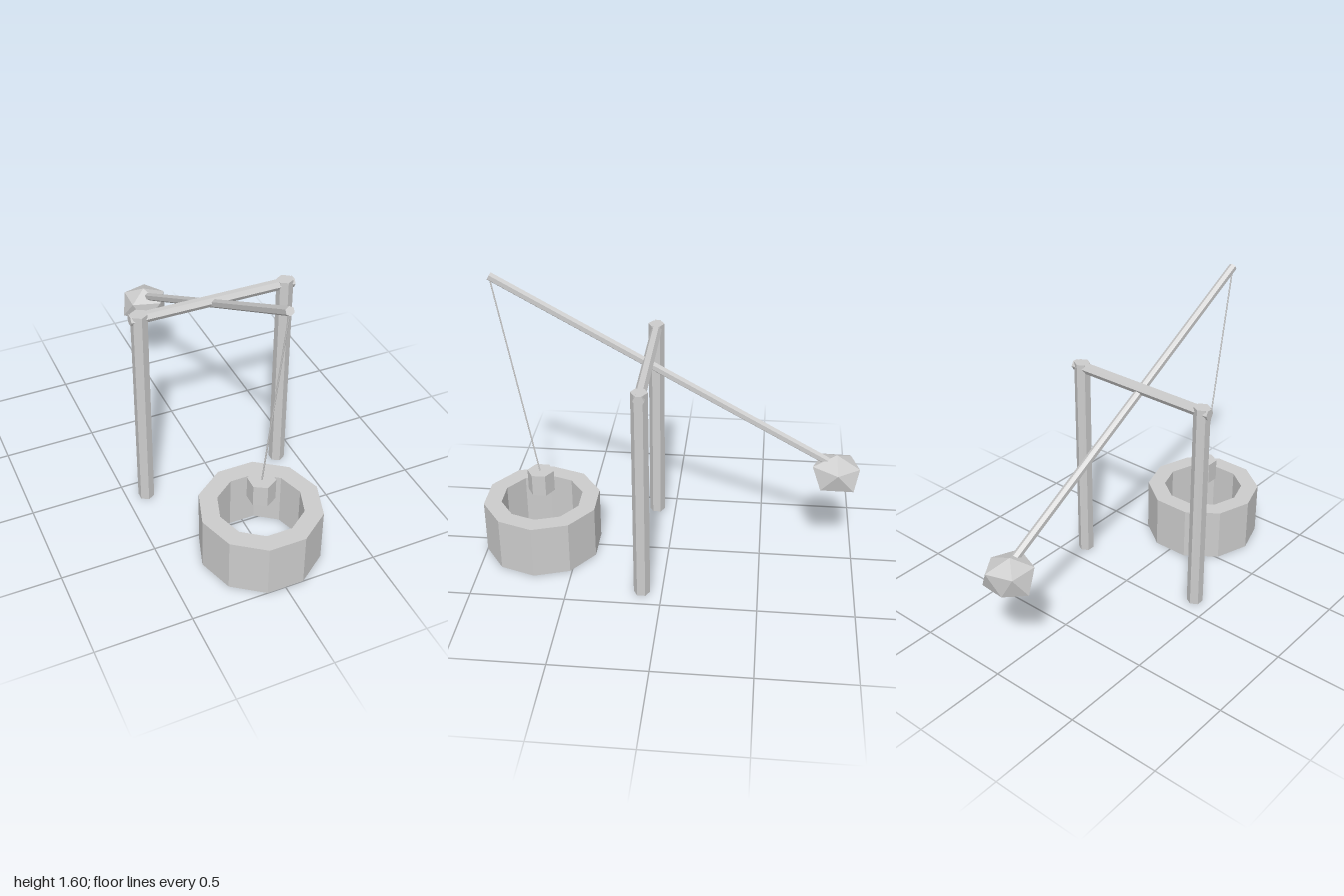
import * as THREE from 'three';
import { ConvexGeometry } from 'three/addons/geometries/ConvexGeometry.js';

const gray = new THREE.MeshStandardMaterial({ color: 0xcccccc });
gray.name = 'light gray';

const UP = new THREE.Vector3(0, 1, 0);

function part(name, geometry) {
  const flat = geometry.index ? geometry.toNonIndexed() : geometry;
  flat.computeVertexNormals();
  const mesh = new THREE.Mesh(flat, gray);
  mesh.name = name;
  return mesh;
}

// Straight prism between two points
function rod(name, from, to, radius, sides = 6) {
  const a = new THREE.Vector3(...from);
  const b = new THREE.Vector3(...to);
  const dir = b.clone().sub(a);
  const mesh = part(name, new THREE.CylinderGeometry(radius, radius, dir.length(), sides));
  mesh.position.copy(a).add(b).multiplyScalar(0.5);
  mesh.quaternion.setFromUnitVectors(UP, dir.normalize());
  return mesh;
}

// Corners of a regular polygon, first corner on +x
function polygon(radius, sides) {
  return Array.from({ length: sides }, (_, i) => {
    const t = (i / sides) * Math.PI * 2;
    return new THREE.Vector2(radius * Math.cos(t), radius * Math.sin(t));
  });
}

export function createModel() {
  const model = new THREE.Group();
  model.name = 'sweepWell';

  // Ten-sided well ring, open through the middle
  const ring = new THREE.Shape(polygon(0.318, 10));
  ring.holes.push(new THREE.Path(polygon(0.222, 10)));
  const ringGeometry = new THREE.ExtrudeGeometry(ring, { depth: 0.297, bevelEnabled: false });
  ringGeometry.rotateX(-Math.PI / 2);
  const well = part('wellRing', ringGeometry);
  well.position.z = 0.697;
  model.add(well);

  // Posts and the axle across them
  for (const [name, x] of [['leftPost', 0.394], ['rightPost', -0.394]]) {
    model.add(rod(name, [x, 0, 0.105], [x, 1.183, 0.105], 0.043));
  }
  model.add(rod('axle', [-0.442, 1.158, 0.103], [0.442, 1.158, 0.103], 0.029));

  // Tilted sweep beam, rope and bucket
  model.add(rod('sweepBeam', [0, 0.6, -0.86], [0, 1.583, 0.892], 0.0225));
  model.add(rod('rope', [0, 0.46, 0.699], [0, 1.575, 0.89], 0.004));
  model.add(rod('bucket', [0, 0.347, 0.697], [0, 0.468, 0.697], 0.072));

  // Faceted counterweight stone: two poles and two uneven rings of five
  const stone = [
    [-0.012, 0.647, -0.88], [0, 0.444, -0.88],
    [0.116, 0.593, -0.884], [0.046, 0.604, -0.755], [-0.106, 0.597, -0.81],
    [-0.102, 0.597, -0.958], [0.037, 0.594, -1.0],
    [-0.137, 0.487, -0.887], [-0.04, 0.487, -0.782], [0.09, 0.49, -0.8],
    [0.092, 0.49, -0.972], [-0.04, 0.482, -0.975],
  ].map((p) => new THREE.Vector3(...p));
  model.add(part('counterweight', new ConvexGeometry(stone)));

  return model;
}
